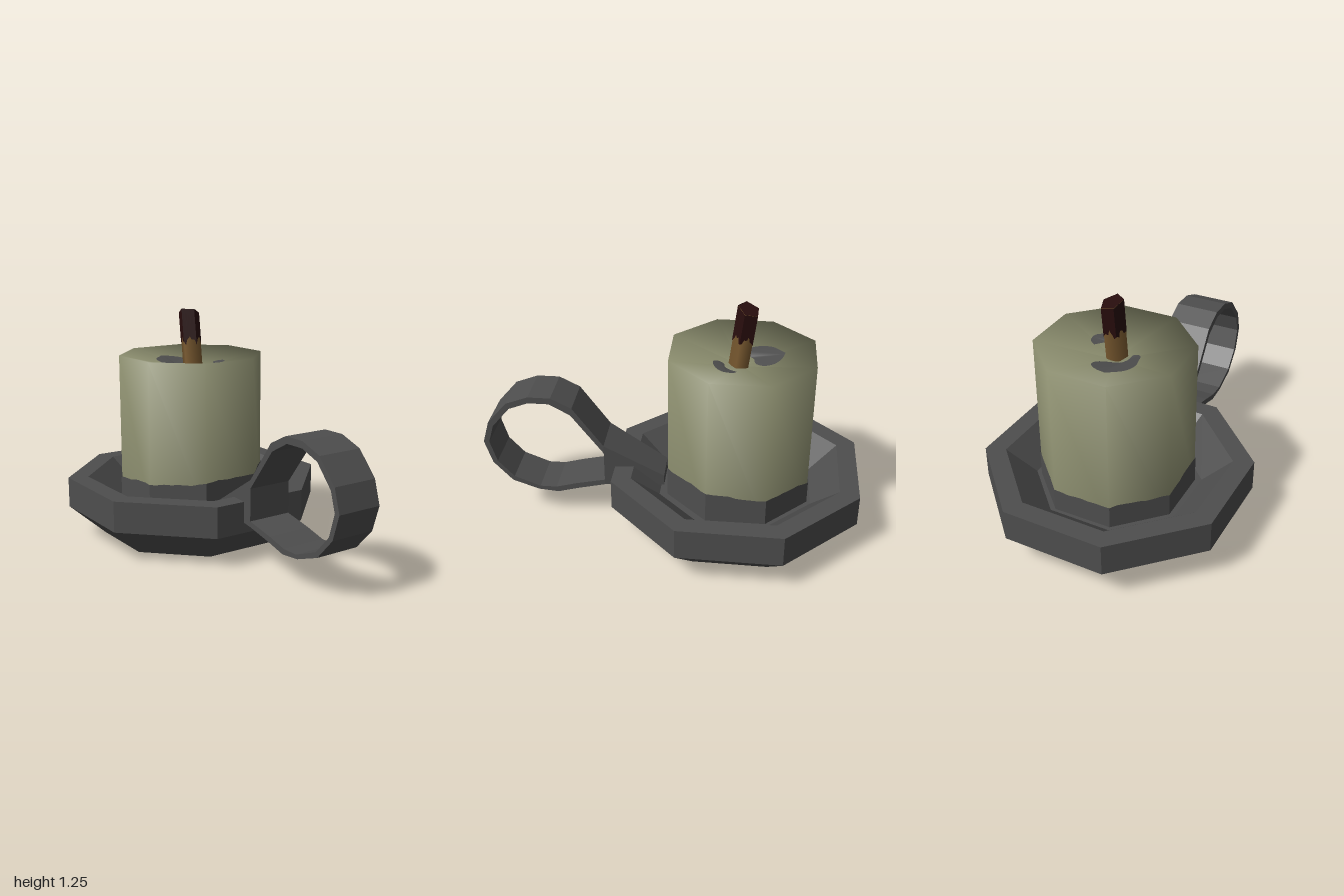
import * as THREE from 'three';

const CX = -0.355; // axis of the dish and candle

function mat(name, color, double = false) {
  const m = new THREE.MeshStandardMaterial({ color });
  m.name = name;
  if (double) m.side = THREE.DoubleSide;
  return m;
}

function mesh(name, geometry, material) {
  const m = new THREE.Mesh(geometry, material);
  m.name = name;
  return m;
}

// Hard-edged version of a geometry
function flat(geometry) {
  const g = geometry.index ? geometry.toNonIndexed() : geometry;
  g.computeVertexNormals();
  return g;
}

// Eight-sided turned shape from [apothem, y] pairs, flats facing the axes
function octagonLathe(profile, twist = 0) {
  const pts = profile.map(([a, y]) => new THREE.Vector2(a / Math.cos(Math.PI / 8), y));
  return new THREE.LatheGeometry(pts, 8, Math.PI / 8 + twist);
}

// Thin sleeve around a regular prism, with ragged lower and upper edges
function sleeve(sides, apothem, start, low, high, steps = 8) {
  const seg = (Math.PI * 2) / sides;
  const g = new THREE.CylinderGeometry(1, 1, 1, sides * steps, 1, true, start);
  const p = g.attributes.position;
  for (let i = 0; i < p.count; i++) {
    const a = Math.atan2(p.getX(i), p.getZ(i));
    const local = ((((a - start) % seg) + seg) % seg) - seg / 2;
    const r = apothem / Math.cos(local);
    const x = r * Math.sin(a), z = r * Math.cos(a);
    p.setXYZ(i, x, p.getY(i) > 0 ? high(x, z, a) : low(x, z, a), z);
  }
  return flat(g);
}

const ragged = (a) => 0.55 * Math.sin(5 * a + 0.6) + 0.3 * Math.sin(11 * a) + 0.25 * Math.sin(23 * a + 1);

export function createModel() {
  const model = new THREE.Group();
  model.name = 'candleHolder';

  const iron = mat('dark iron', 0x4e4e4e);
  const ironThin = mat('dark grey stain', 0x4e4e4e, true);
  const wax = mat('olive wax', 0x8b8d6e);
  const cord = mat('tan wick', 0x7a5a30);
  const char = mat('charred wick', 0x280d0d, true);

  // Dish: sloped foot, upright rim, sunken floor
  const dish = mesh('dish', flat(octagonLathe([
    [0, 0], [0.465, 0], [0.645, 0.165], [0.645, 0.33],
    [0.545, 0.33], [0.4, 0.2], [0, 0.2],
  ], -0.016)), iron);
  dish.position.x = CX;
  model.add(dish);

  // Candle: smooth sides flowing into a hollow top
  const candle = new THREE.Group();
  candle.name = 'candle';
  candle.position.x = CX - 0.01;
  model.add(candle);
  const rim = 0.367, rimY = 1.0, hollowY = 0.91;
  candle.add(mesh('candleBody', octagonLathe([
    [rim, 0.19], [rim, rimY], [0, hollowY],
  ]), wax));

  // Soot around the candle's foot
  candle.add(mesh('footStain', sleeve(8, rim + 0.004, Math.PI / 8,
    () => 0.2,
    (x, z, a) => 0.343 + 0.06 * x - 0.025 * z + 0.009 * ragged(a)), ironThin));

  // Soot patches lying in the hollow top
  const patches = [
    [[-0.58, 0.06], [-0.56, 0], [-0.52, -0.045], [-0.47, -0.045], [-0.43, 0], [-0.42, 0.05],
      [-0.38, 0.075], [-0.33, 0.08], [-0.335, 0.12], [-0.38, 0.135], [-0.45, 0.15], [-0.52, 0.13]],
    [[-0.34, -0.13], [-0.32, -0.16], [-0.27, -0.16], [-0.23, -0.11], [-0.215, -0.04],
      [-0.24, -0.015], [-0.27, -0.03], [-0.28, -0.08], [-0.31, -0.11]],
  ];
  for (const outline of patches) {
    const curve = new THREE.SplineCurve([...outline, outline[0]].map(([x, z]) =>
      new THREE.Vector2(x - candle.position.x, -z)));
    const g = new THREE.ShapeGeometry(new THREE.Shape(curve.getPoints(40)));
    g.rotateX(-Math.PI / 2);
    const p = g.attributes.position;
    for (let i = 0; i < p.count; i++) {
      const r = Math.hypot(p.getX(i), p.getZ(i));
      p.setY(i, hollowY + (r / rim) * (rimY - hollowY) + 0.004);
    }
    g.computeVertexNormals();
    candle.add(mesh('topStain', g, ironThin));
  }

  // Wick: leaning five-sided cord with a slanted, burnt end
  const wick = new THREE.Group();
  wick.name = 'wick';
  wick.position.set(-0.345, 0.89, 0);
  wick.rotation.z = 0.12;
  model.add(wick);
  const wickTop = (x, z) => 0.34 + 0.2 * x + 0.25 * z;
  const cordGeo = new THREE.CylinderGeometry(0.056, 0.056, 0.34, 5, 1, false, 0.3);
  cordGeo.translate(0, 0.17, 0);
  const cp = cordGeo.attributes.position;
  for (let i = 0; i < cp.count; i++) {
    if (cp.getY(i) > 0.1) cp.setY(i, wickTop(cp.getX(i), cp.getZ(i)));
  }
  wick.add(mesh('wickCord', cordGeo, [cord, char, cord]));
  wick.add(mesh('wickChar', sleeve(5, 0.056 * Math.cos(Math.PI / 5) + 0.002, 0.3,
    (x, z, a) => 0.185 + 0.028 * ragged(a + 0.5), wickTop), char));

  // Handle: bent strap loop, narrowing where it joins the dish
  const outer = [[0.03, 0.21], [0.29, 0.22], [0.35, 0.215], [0.5, 0.18], [0.61, 0.15], [0.72, 0.16],
    [0.86, 0.21], [0.96, 0.32], [1.0, 0.45], [0.965, 0.57], [0.86, 0.69], [0.74, 0.735],
    [0.62, 0.735], [0.51, 0.68], [0.35, 0.46], [0.03, 0.27]];
  const inner = [[0.35, 0.415], [0.52, 0.64], [0.63, 0.7], [0.74, 0.7], [0.845, 0.66], [0.94, 0.55],
    [0.97, 0.45], [0.935, 0.33], [0.85, 0.235], [0.71, 0.18], [0.62, 0.18], [0.51, 0.21], [0.35, 0.245]];
  const toV2 = (list) => list.map(([x, y]) => new THREE.Vector2(x, y));
  const strap = new THREE.Shape(toV2(outer));
  strap.holes.push(new THREE.Path(toV2(inner)));
  const strapGeo = new THREE.ExtrudeGeometry(strap, { depth: 0.244, bevelEnabled: false });
  strapGeo.translate(0, 0, -0.122);
  const sp = strapGeo.attributes.position;
  for (let i = 0; i < sp.count; i++) {
    const t = Math.min(1, (sp.getX(i) - 0.03) / 0.32);
    sp.setZ(i, sp.getZ(i) * (0.72 + 0.28 * t));
  }
  model.add(mesh('handle', flat(strapGeo), iron));

  return model;
}
